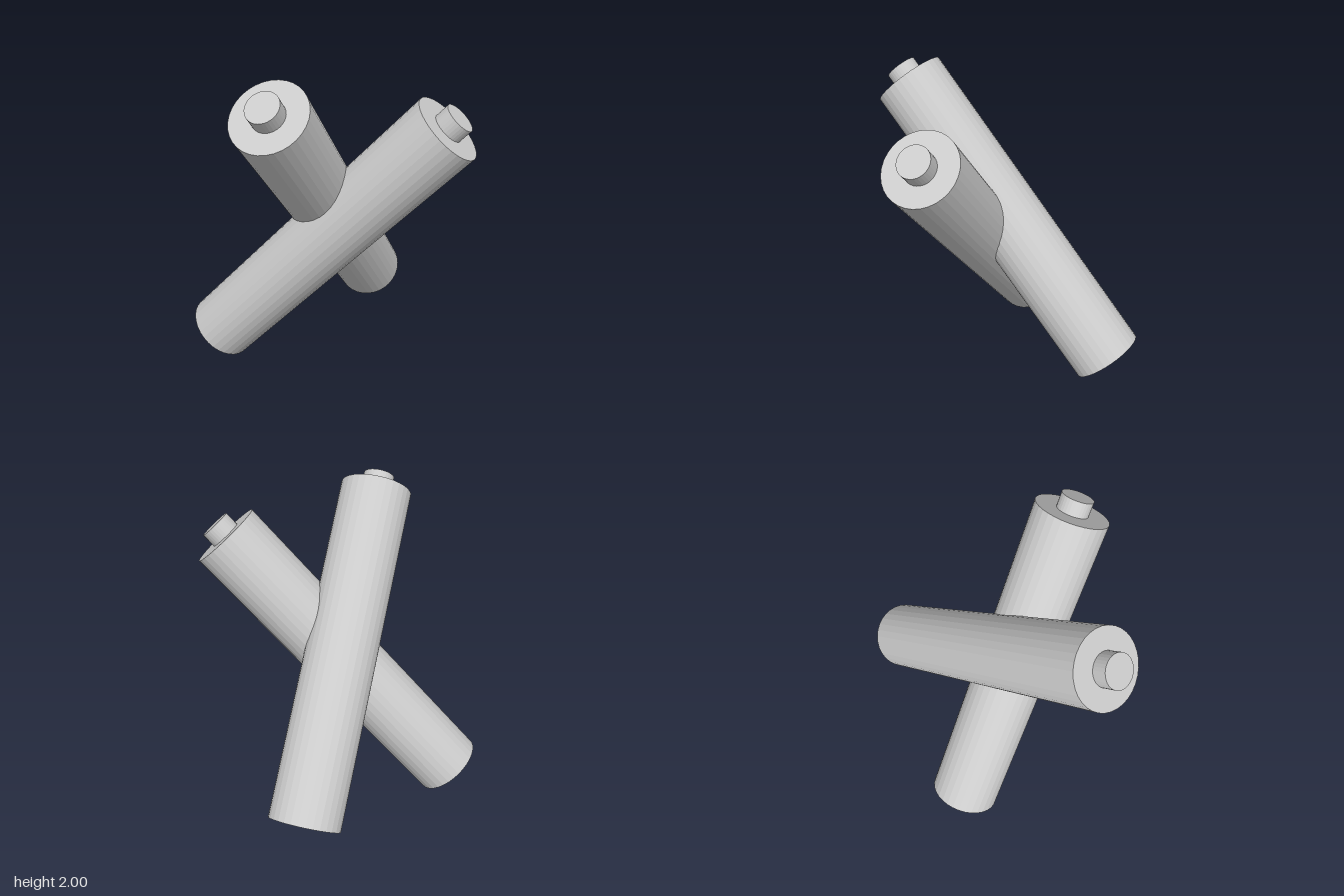
import * as THREE from 'three';

const RADIUS = 0.222, NUB_RADIUS = 0.096, NUB_HEIGHT = 0.09, SIDES = 32;

// One cell: a plain cylinder with a small terminal on its top end
function makeCell(name, bottom, top, material) {
  const cell = new THREE.Group();
  cell.name = name;
  const axis = top.clone().sub(bottom);
  const length = axis.length();

  const body = new THREE.Mesh(new THREE.CylinderGeometry(RADIUS, RADIUS, length, SIDES), material);
  body.name = 'body';

  const terminal = new THREE.Mesh(
    new THREE.CylinderGeometry(NUB_RADIUS, NUB_RADIUS, NUB_HEIGHT, SIDES), material);
  terminal.name = 'terminal';
  terminal.position.y = length / 2 + NUB_HEIGHT / 2;

  cell.add(body, terminal);
  cell.position.copy(bottom).add(top).multiplyScalar(0.5);
  cell.quaternion.setFromUnitVectors(new THREE.Vector3(0, 1, 0), axis.normalize());
  return cell;
}

export function createModel() {
  const model = new THREE.Group();
  model.name = 'crossedBatteries';
  const material = new THREE.MeshStandardMaterial({ color: 0xcccccc, flatShading: true });

  // Two cells leaning across each other
  model.add(
    makeCell('frontBattery', new THREE.Vector3(-0.436, 0.152, -0.668), new THREE.Vector3(0.143, 1.7, 0.665), material),
    makeCell('sideBattery', new THREE.Vector3(0.685, 0.294, -0.304), new THREE.Vector3(-0.686, 1.849, 0.128), material)
  );
  return model;
}
